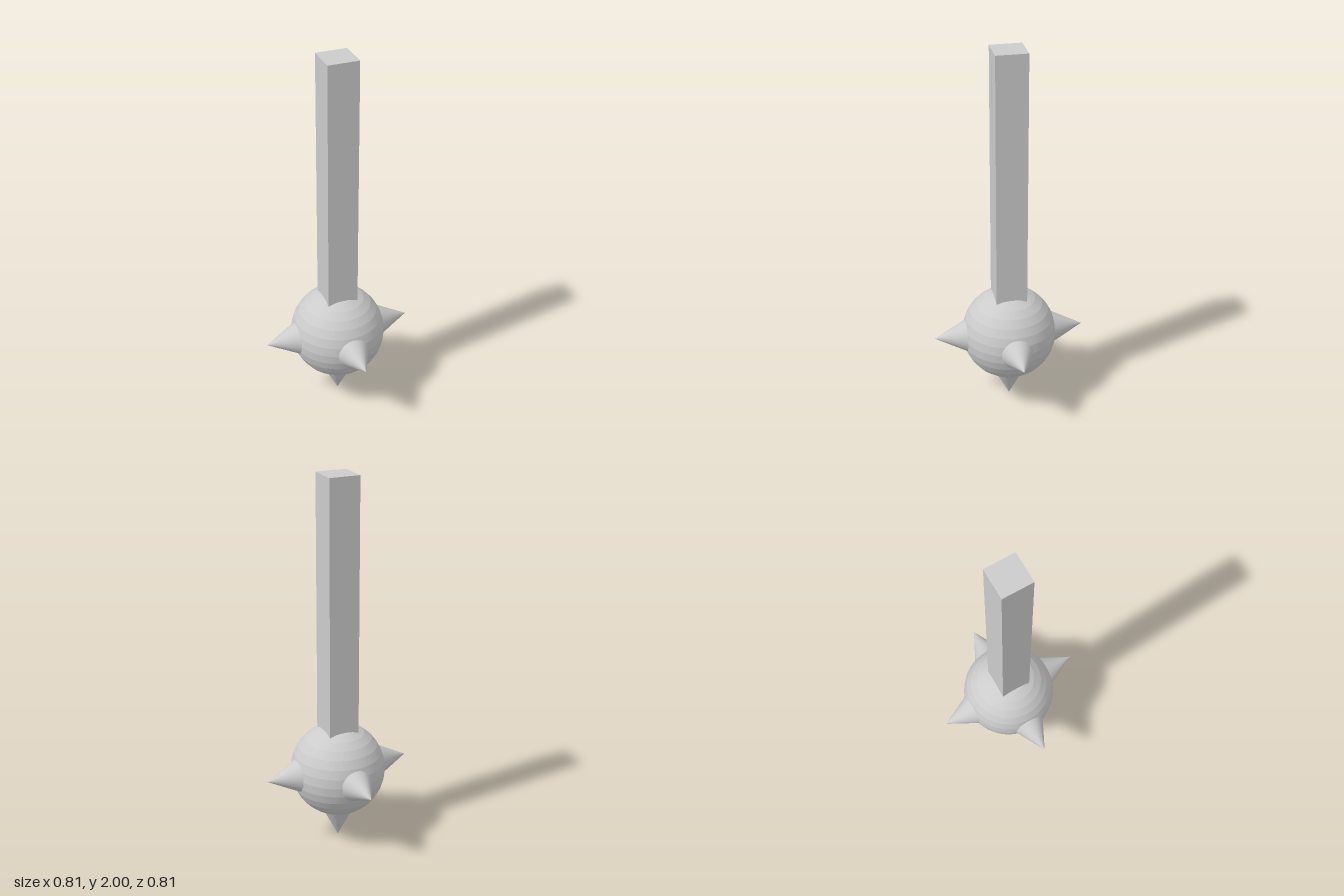
import * as THREE from 'three';

const BALL_Y = 0.405;
const BALL_RADIUS = 0.253;
const SPIKE_TIP = 0.405;     // distance of each tip from the ball centre
const SPIKE_LENGTH = 0.175;
const SPIKE_RADIUS = 0.0886;

export function createModel() {
  const group = new THREE.Group();
  group.name = 'spikedMace';
  const flat = new THREE.MeshStandardMaterial({ color: 0xcccccc, flatShading: true });
  const smooth = new THREE.MeshStandardMaterial({ color: 0xcccccc });

  const add = (name, geometry, material) => {
    const mesh = new THREE.Mesh(geometry, material);
    mesh.name = name;
    group.add(mesh);
    return mesh;
  };

  // Square handle, its lower end sunk into the ball
  const handleBottom = 0.45;
  add('handle', new THREE.BoxGeometry(0.165, 2 - handleBottom, 0.165), flat)
    .position.y = (2 + handleBottom) / 2;

  // Ball: fine around, banded in height
  add('ball', new THREE.SphereGeometry(BALL_RADIUS, 96, 16), flat).position.y = BALL_Y;

  // Five conical spikes: four sides and the bottom
  const spikes = {
    leftSpike: [1, 0, 0],
    rightSpike: [-1, 0, 0],
    frontSpike: [0, 0, 1],
    backSpike: [0, 0, -1],
    bottomSpike: [0, -1, 0],
  };
  const up = new THREE.Vector3(0, 1, 0);
  const cone = new THREE.ConeGeometry(SPIKE_RADIUS, SPIKE_LENGTH, 64);
  for (const [name, axis] of Object.entries(spikes)) {
    const direction = new THREE.Vector3(...axis);
    const spike = add(name, cone, smooth);
    spike.quaternion.setFromUnitVectors(up, direction);
    spike.position.copy(direction).multiplyScalar(SPIKE_TIP - SPIKE_LENGTH / 2);
    spike.position.y += BALL_Y;
  }

  return group;
}
